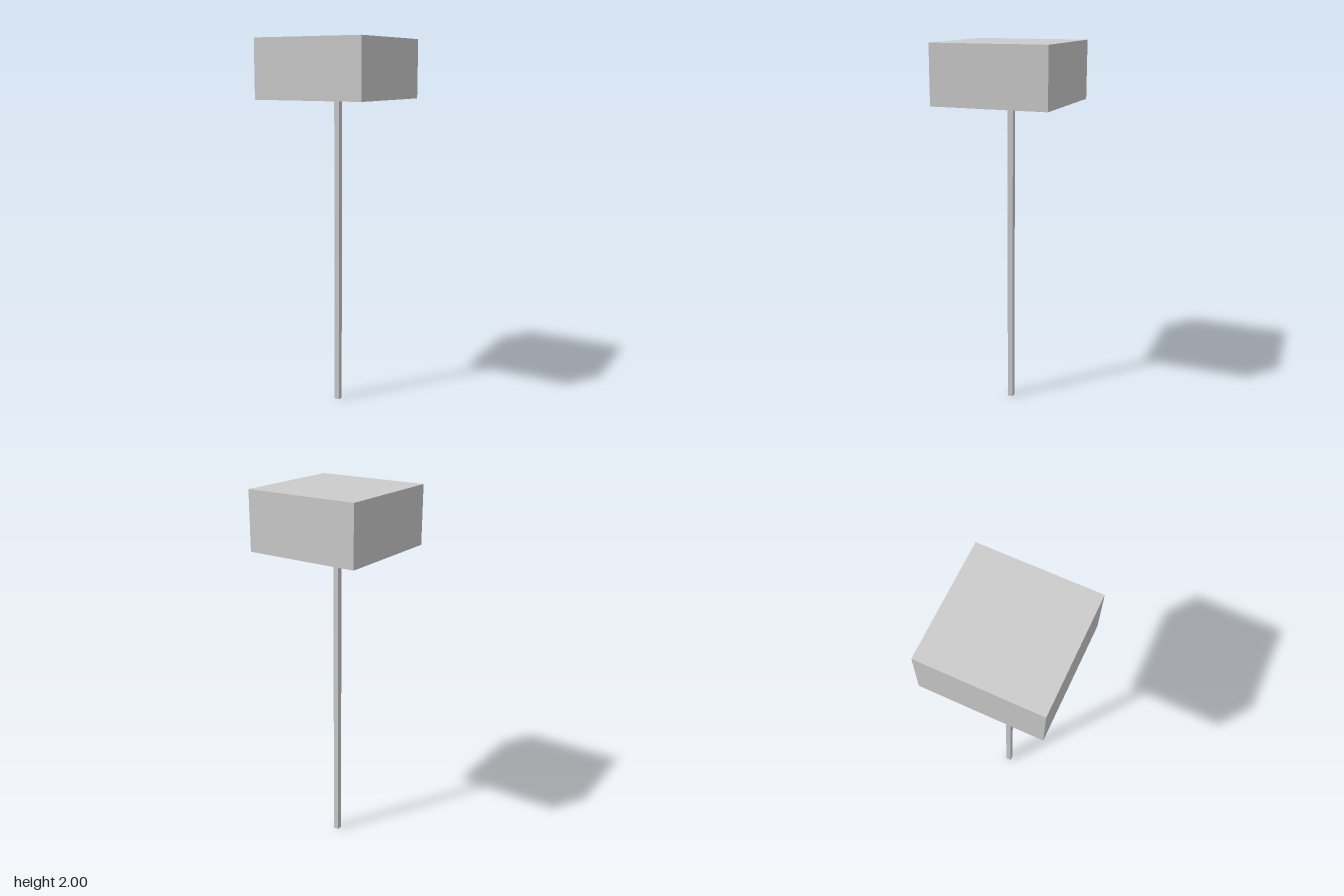
import * as THREE from 'three';

const HEIGHT = 2;
const HEAD_WIDTH = 0.63;
const HEAD_HEIGHT = 0.315;
const POLE_WIDTH = 0.03;

export function createModel() {
  const model = new THREE.Group();
  model.name = 'blockOnPole';
  const material = new THREE.MeshStandardMaterial({ color: 0xcccccc, flatShading: true });

  // Square box standing on the given height
  function addBox(name, width, height, bottom) {
    const mesh = new THREE.Mesh(new THREE.BoxGeometry(width, height, width), material);
    mesh.name = name;
    mesh.position.y = bottom + height / 2;
    model.add(mesh);
  }

  // Thin square pole from the ground to the underside of the head
  const poleHeight = HEIGHT - HEAD_HEIGHT;
  addBox('pole', POLE_WIDTH, poleHeight, 0);

  // Wide block on top
  addBox('head', HEAD_WIDTH, HEAD_HEIGHT, poleHeight);

  return model;
}
